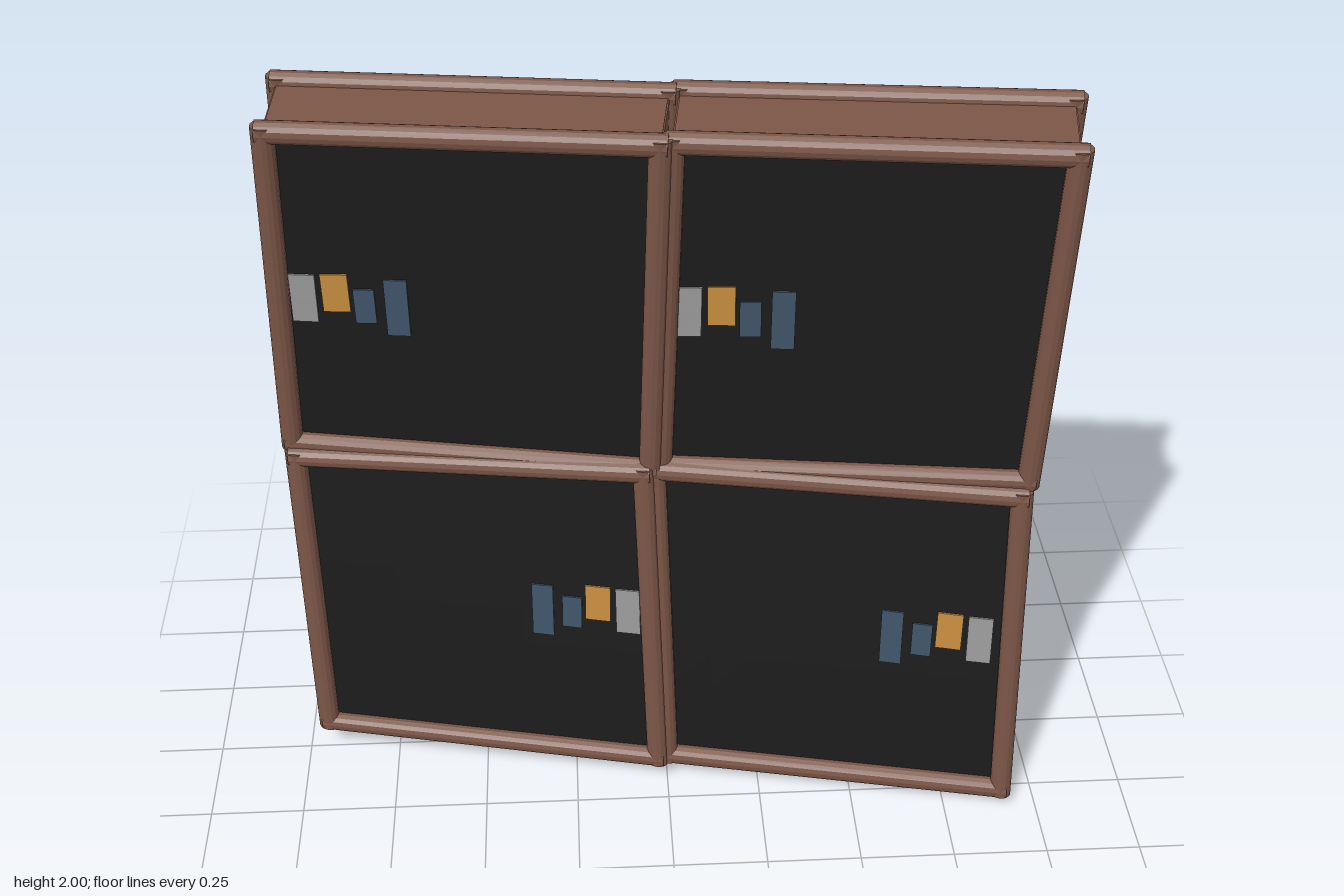
import * as THREE from 'three';

// Nominal size of one bookcase before it is bent into place
const W = 0.93, H = 0.93, D = 0.25;

const mat = (color) => new THREE.MeshStandardMaterial({ color, flatShading: true });
const wood = mat(0x7a5546), dark = mat(0x1c1c1c);
const covers = {
  G: mat(0x9c9c9c), K: mat(0x1e1e1e), B: mat(0x40566a), O: mat(0xc98f40), T: mat(0xdcb072),
};

// Frame corner points, rows from top to bottom, columns from -x to +x
const front = [
  [[-0.915, 1.928, -0.01], [0, 1.94, 0.12], [0.905, 1.955, 0.25]],
  [[-0.952, 1.012, -0.08], [-0.025, 1.005, 0.07], [0.895, 1.035, 0.215]],
  [[-0.945, 0.98, -0.06], [-0.042, 1.0, 0.08], [0.88, 0.997, 0.23]],
  [[-0.94, 0.102, 0.0], [-0.012, 0.073, 0.155], [0.905, 0.05, 0.307]],
];
const back = [
  [[-0.9, 1.945, -0.232], [0.03, 1.953, -0.107], [0.94, 1.97, 0.023]],
  [[-0.935, 1.02, -0.303], [0.005, 1.015, -0.154], [0.925, 1.035, -0.012]],
  [[-0.925, 0.985, -0.297], [-0.01, 1.0, -0.147], [0.92, 1.0, -0.002]],
  [[-0.93, 0.078, -0.232], [0.02, 0.053, -0.077], [0.952, 0.034, 0.083]],
];

// Floor, clear height and books of each shelf, top to bottom, by compartment
const shelves = [
  { floor: 0.14, room: 0.31, books: ['G', ' KGB', 'GGB'] },
  { floor: -0.17, room: 0.29, books: ['KK', 'OOKO', 'BBOG'] },
  { floor: -0.45, room: 0.27, books: ['KT', 'OOTG', 'OKOB'] },
];

function createUnit(name, row, col, mirror, tipLean, shiftX, shiftY) {
  const unit = new THREE.Group();
  unit.name = name;
  let seed = 11;
  const random = () => {
    seed = (seed * 16807) % 2147483647;
    return seed / 2147483647;
  };

  // Eight corners of this bookcase, nudged apart at the middle seam
  const corner = (grid, r, c) => {
    const v = new THREE.Vector3(...grid[r][c]);
    if (c === 1) { v.x += col ? 0.014 : -0.014; v.z += col ? -0.006 : 0.006; }
    return v;
  };
  const face = (grid) => [[corner(grid, row + 1, col), corner(grid, row + 1, col + 1)],
    [corner(grid, row, col), corner(grid, row, col + 1)]];
  const f = face(front), b = face(back);
  const blend = (q, s, t) => q[0][0].clone().lerp(q[0][1], s)
    .lerp(q[1][0].clone().lerp(q[1][1], s), t);

  // Bend a part from the nominal box into the crooked one
  function add(geometry, material, partName) {
    const p = geometry.attributes.position;
    for (let i = 0; i < p.count; i++) {
      const s = p.getX(i) / W + 0.5, t = p.getY(i) / H + 0.5, d = p.getZ(i) / D + 0.5;
      const v = blend(b, s, t).lerp(blend(f, s, t), d);
      p.setXYZ(i, v.x, v.y, v.z);
    }
    geometry.computeVertexNormals();
    const mesh = new THREE.Mesh(geometry, material);
    mesh.name = partName;
    unit.add(mesh);
  }
  const box = (w, h, d, x, y, z, material, partName, lean = 0, tip = 0) =>
    add(new THREE.BoxGeometry(w, h, d, Math.ceil(w * 8), Math.ceil(h * 8)).rotateX(tip)
      .rotateZ(lean * mirror).translate(x * mirror, y, z), material, partName);
  const rod = (r, length, x, y, z, upright, partName, lean = 0) =>
    add(new THREE.CylinderGeometry(r, r, length, 14)
      .rotateZ((upright ? 0 : Math.PI / 2) + lean * mirror)
      .translate(x * mirror, y, z), wood, partName);

  // Round frame rods on front and back edges
  for (const z of [-D / 2, D / 2]) {
    for (const e of [-1, 1]) {
      rod(0.029, H + 0.035, e * W / 2, 0, z, true, 'frameUpright');
      rod(0.029, W + 0.035, 0, e * H / 2, z, false, 'frameRail');
    }
  }

  // Walls and closed panel
  for (const e of [-1, 1]) {
    box(0.025, H, D, e * (W / 2 - 0.009), 0, 0, wood, 'sideWall');
    box(W, 0.025, D, 0, e * (H / 2 - 0.009), 0, wood, e > 0 ? 'topWall' : 'bottomWall');
  }
  box(W - 0.03, H - 0.03, 0.012, 0, 0, 0.113, dark, 'closedPanel');

  // Shelves with rounded edges
  for (const [y, r] of [[0.13, 0.016], [-0.18, 0.012]]) {
    box(W - 0.03, 0.018, D - 0.03, 0, y, -0.008, wood, 'shelf');
    rod(r, W, 0, y, -0.118, false, 'shelfEdge');
  }

  // Dividers and books
  const inside = W / 2 - 0.025;
  const splits = [inside, 0.25, -0.185, -inside];
  shelves.forEach(({ floor, room, books }, r) => {
    const lean = (r - 1) * 0.04;
    for (const x of splits.slice(1, 3)) {
      box(0.016, room, D - 0.03, x, floor + room / 2 - 0.005, -0.008, wood, 'divider', lean);
      rod(0.015, room, x, floor + room / 2 - 0.005, -0.118, true, 'dividerEdge', lean);
    }
    books.forEach((codes, c) => {
      const start = splits[c] - 0.015, step = (start - splits[c + 1] - 0.015) / codes.length;
      [...codes].forEach((code, i) => {
        const w = Math.min(step * 0.75, 0.06), h = room * (0.66 + random() * 0.18);
        const depth = 0.14 + random() * 0.03, tilt = random() * 0.18 - 0.06;
        const x = start - step * (i + 0.5);
        if (code === ' ') return;
        if (c > 0) {
          box(w, h, depth, x, floor + h / 2, -0.008, covers[code], 'book', tilt);
        } else if (code === 'G') {
          box(0.045, 0.26, depth, x, floor + 0.13, -0.015, covers.G, 'leaningBook', -0.42);
        } else if (code === 'T') {
          box(0.06, 0.19, depth, x + 0.02, floor + 0.075, -0.015, covers.T, 'fallenBook', 0.9);
        } else {
          box(w * 0.8, h, depth, x, floor + h / 2, -0.01, covers[code], 'book', 0.16);
        }
      });
    });
  });

  // Big book tipping about in the top shelf
  if (tipLean > 0) {
    box(0.08, 0.25, 0.13, 0.17, 0.295, -0.1, covers.T, 'tippingBook', tipLean, -0.33);
  } else {
    const fall = Math.abs(tipLean);
    box(0.08, 0.255 - 0.05 * fall, 0.13, 0.175, 0.3 - 0.03 * fall, -0.055, covers.T,
      'tippingBook', tipLean, -0.12);
  }

  // Book sinking through the base of the lower cases
  if (row > 0) box(0.075, 0.12, 0.085, 0.15, -H / 2 + 0.012, 0.03, covers.O, 'sunkenBook', 0.08);

  // Corners of deep books showing through the closed panel
  const ends = [
    ['G', 0.065, 0.14, 0.0625, -0.005, 0.02], ['O', 0.068, 0.11, 0.143, 0.015, 0.04],
    ['B', 0.053, 0.1, 0.215, -0.02, 0.04], ['B', 0.058, 0.165, 0.295, -0.02, 0.03],
  ];
  for (const [code, w, h, x, y, tilt] of ends) {
    box(w, h, 0.1, x - W / 2 + shiftX, y + shiftY, 0.074, covers[code], 'deepBook', tilt);
  }
  return unit;
}

export function createModel() {
  const model = new THREE.Group();
  model.name = 'bookcaseWall';
  model.add(
    createUnit('upperRightBookcase', 0, 0, 1, 0.15, 0, 0),
    createUnit('upperLeftBookcase', 0, 1, 1, -0.55, -0.01, 0.01),
    createUnit('lowerRightBookcase', 2, 0, -1, -0.95, 0, 0.025),
    createUnit('lowerLeftBookcase', 2, 1, -1, -0.3, 0.02, 0.02),
  );
  return model;
}
